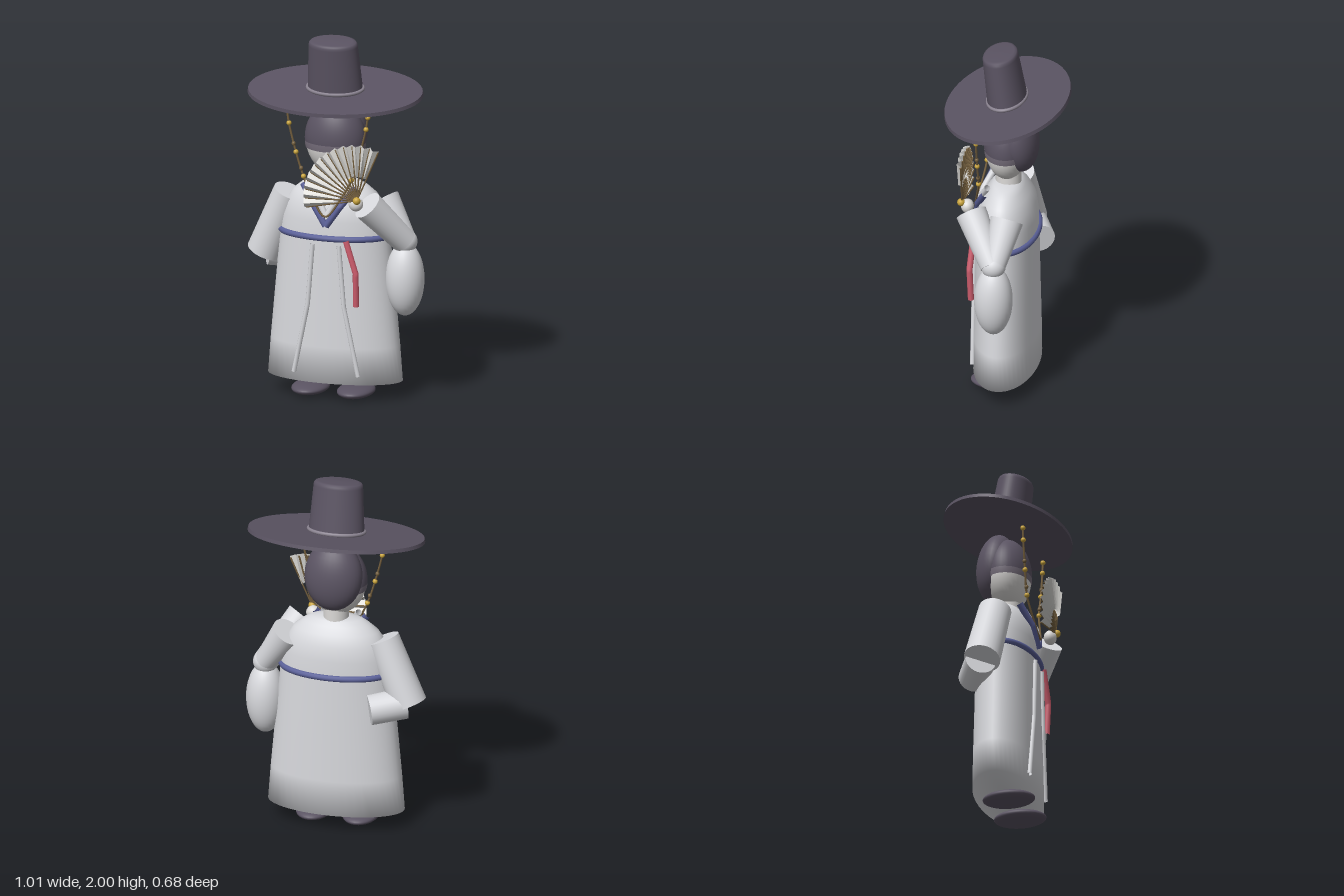
import * as THREE from 'three';
import { mergeVertices } from 'three/addons/utils/BufferGeometryUtils.js';

const paint = (name, color, side = THREE.FrontSide) => {
  const m = new THREE.MeshStandardMaterial({ color, side });
  m.name = name;
  return m;
};
const V = (x, y, z) => new THREE.Vector3(x, y, z);

export function createModel() {
  const root = new THREE.Group();
  const cloth = paint('robe white', 0xd8d9dd, THREE.DoubleSide);
  const skin = paint('pale skin', 0xdcdad8);
  const dark = paint('hat charcoal', 0x5a5362);
  const band = paint('band grey', 0x8a8390);
  const headband = paint('headband mauve', 0x756d7a);
  const navy = paint('sash blue', 0x5a6098);
  const red = paint('ribbon red', 0xcc5c6c);
  const gold = paint('gold', 0xc9a43c);
  const brown = paint('bamboo brown', 0x75603f);
  const paper = paint('fan paper', 0xdddcd8, THREE.DoubleSide);

  const add = (name, geometry, material, parent = root) => {
    const mesh = new THREE.Mesh(geometry, material);
    mesh.name = name;
    parent.add(mesh);
    return mesh;
  };
  const ellipsoid = (name, c, r, material, parent = root) => {
    const m = add(name, new THREE.SphereGeometry(1, 32, 20), material, parent);
    m.scale.set(...r);
    m.position.set(...c);
    return m;
  };
  // Tapered cylinder between two points
  const limb = (name, a, b, ra, rb, material, parent = root, sides = 28) => {
    const dir = b.clone().sub(a);
    const m = add(name, new THREE.CylinderGeometry(rb, ra, dir.length(), sides), material, parent);
    m.position.copy(a).add(b).multiplyScalar(0.5);
    m.quaternion.setFromUnitVectors(V(0, 1, 0), dir.normalize());
    return m;
  };
  // Bent strip made of straight round pieces
  const strip = (name, pts, r, material) => {
    const path = new THREE.CurvePath();
    for (let i = 1; i < pts.length; i++) path.add(new THREE.LineCurve3(pts[i - 1], pts[i]));
    return add(name, new THREE.TubeGeometry(path, 24, r, 8), material);
  };

  // Robe: elliptical rows of [y, half width, half depth]
  const rows = [
    [0.1, 0.001, 0.001], [0.1, 0.38, 0.178], [0.3, 0.365, 0.176], [0.6, 0.338, 0.17], [0.9, 0.31, 0.166],
    [1.0, 0.298, 0.162], [1.08, 0.275, 0.152], [1.14, 0.235, 0.122], [1.18, 0.185, 0.095],
    [1.205, 0.14, 0.075], [1.215, 0.06, 0.05], [1.215, 0.001, 0.001],
  ];
  const lathe = new THREE.LatheGeometry(rows.map(r => new THREE.Vector2(r[1], r[0])), 48);
  const p = lathe.attributes.position;
  for (let i = 0; i < p.count; i++) {
    const [, w, d] = rows[i % rows.length];
    p.setZ(i, p.getZ(i) * d / w);
  }
  lathe.deleteAttribute('uv');
  lathe.deleteAttribute('normal');
  const robe = mergeVertices(lathe, 1e-5);
  robe.computeVertexNormals();
  add('robe', robe, cloth);

  // Sash around the chest
  const ring = [];
  for (let i = 0; i < 40; i++) {
    const a = i / 40 * Math.PI * 2;
    ring.push(V(0.305 * Math.sin(a), 0.91, 0.167 * Math.cos(a)));
  }
  add('sash', new THREE.TubeGeometry(new THREE.CatmullRomCurve3(ring, true), 80, 0.017, 10, true), navy);

  // Crossed collars, hanging ties and shoes, mirrored
  for (const s of [-1, 1]) {
    strip('collar', [V(s * 0.15, 1.19, 0.1), V(s * 0.075, 1.09, 0.15), V(0, 0.98, 0.168)], 0.019, navy);
    strip('innerCollar', [V(s * 0.1, 1.2, 0.095), V(s * 0.05, 1.12, 0.14), V(0, 1.03, 0.162)], 0.018, cloth);
    strip('skirtTie', [V(s * 0.075, 0.875, 0.168), V(s * 0.103, 0.535, 0.168), V(s * 0.183, 0.15, 0.163)], 0.013, cloth);
    ellipsoid('shoe', [s * 0.13, 0.038, 0.035], [0.1, 0.035, 0.145], dark);
  }
  strip('redRibbon', [V(0.115, 0.905, 0.168), V(0.175, 0.73, 0.18), V(0.175, 0.545, 0.172)], 0.017, red);

  // Right arm, folded behind the back
  limb('rightUpperSleeve', V(-0.263, 1.11, -0.01), V(-0.417, 0.755, -0.045), 0.09, 0.1, cloth);
  limb('rightForeSleeve', V(-0.4, 0.76, -0.055), V(-0.22, 0.735, -0.14), 0.085, 0.083, cloth);

  // Left arm, raised with a hanging sleeve
  limb('leftUpperSleeve', V(0.26, 1.1, -0.04), V(0.405, 0.885, 0.005), 0.09, 0.06, cloth);
  limb('leftForeSleeve', V(0.235, 1.115, 0.16), V(0.4, 0.89, 0.015), 0.085, 0.068, cloth);
  ellipsoid('leftElbow', [0.4, 0.89, 0.01], [0.068, 0.068, 0.068], cloth);
  ellipsoid('sleeveBag', [0.4, 0.68, 0.01], [0.106, 0.205, 0.105], cloth);
  ellipsoid('leftHand', [0.18, 1.125, 0.19], [0.04, 0.04, 0.035], skin);

  // Head, headband and hair
  limb('neck', V(0, 1.17, -0.005), V(0, 1.3, -0.005), 0.07, 0.07, skin);
  ellipsoid('face', [0, 1.43, 0], [0.167, 0.2, 0.123], skin);
  const cap = (name, from, to, material) => {
    const m = add(name, new THREE.SphereGeometry(1, 40, 16, 0, Math.PI * 2, from, to - from), material);
    m.position.set(0, 1.43, 0);
    m.scale.set(0.171, 0.205, 0.127);
  };
  cap('hairCap', 0, 1.64, dark);
  cap('headband', 1.64, 1.82, headband);
  ellipsoid('backHair', [0, 1.475, -0.062], [0.16, 0.195, 0.108], dark).rotation.x = 0.14;

  // Wide hat, tipped forward
  const hat = new THREE.Group();
  hat.name = 'hat';
  hat.position.y = 1.695;
  hat.rotation.x = 0.147;
  root.add(hat);
  const oval = new THREE.Group();
  oval.name = 'hatOval';
  oval.scale.z = 0.7;
  hat.add(oval);
  add('brim', new THREE.CylinderGeometry(0.486, 0.49, 0.02, 56), dark, oval);
  const crown = [[0.155, 0], [0.137, 0.27], [0.135, 0.283], [0.128, 0.292], [0.11, 0.297], [0.001, 0.3]];
  add('crown', new THREE.LatheGeometry(crown.map(c => new THREE.Vector2(...c)), 48), dark, oval);
  const hatBand = add('hatBand', new THREE.TorusGeometry(0.155, 0.01, 10, 56), band, oval);
  hatBand.rotation.x = Math.PI / 2;
  hatBand.position.y = 0.022;

  // Beaded hat string hanging across the chest
  const drop = [[0.23, 1.6], [0.22, 1.533], [0.18, 1.374], [0.137, 1.241], [0.085, 1.14]];
  const cord = [
    ...drop.map(([x, y], i) => V(-x, y, i === 4 ? 0.155 : 0.137)), V(0, 1.035, 0.178),
    ...drop.map(([x, y], i) => V(x, y, i === 4 ? 0.155 : 0.137)).reverse(),
  ];
  add('hatString', new THREE.TubeGeometry(new THREE.CatmullRomCurve3(cord), 80, 0.006, 6), brown);
  for (const s of [-1, 1]) {
    drop.slice(0, 4).forEach(([x, y]) => ellipsoid('bead', [s * x, y, 0.137], [0.014, 0.014, 0.014], gold));
    for (const [x, y] of [[0.193, 1.42], [0.15, 1.285]])
      ellipsoid('smallBead', [s * x, y, 0.137], [0.011, 0.013, 0.011], brown);
  }

  // Folding fan: pleated paper on ribs around a pivot
  const fan = new THREE.Group();
  fan.name = 'fan';
  fan.position.set(0.195, 1.152, 0.218);
  root.add(fan);
  const folds = 26, start = 1.17, end = 3.35;
  const at = (i, r) => {
    const a = start + (end - start) * i / folds;
    return V(Math.cos(a) * r, Math.sin(a) * r, i % 2 ? 0.013 : -0.013);
  };
  const outer = i => at(i, i % 2 ? 0.302 : 0.31);
  const tris = [];
  for (let i = 0; i < folds; i++) {
    const a = at(i, 0.135), b = at(i + 1, 0.135), c = outer(i + 1), d = outer(i);
    tris.push(a, c, b, a, d, c);
  }
  const pleats = new THREE.BufferGeometry().setFromPoints(tris);
  pleats.computeVertexNormals();
  add('fanPaper', pleats, paper, fan);
  for (let i = 0; i <= folds; i += 2)
    limb('fanRib', V(0, 0, 0), at(i, 0.3), 0.004, 0.005, brown, fan, 6);
  ellipsoid('fanPivot', [0, 0, 0.005], [0.021, 0.021, 0.021], gold, fan);

  return root;
}
